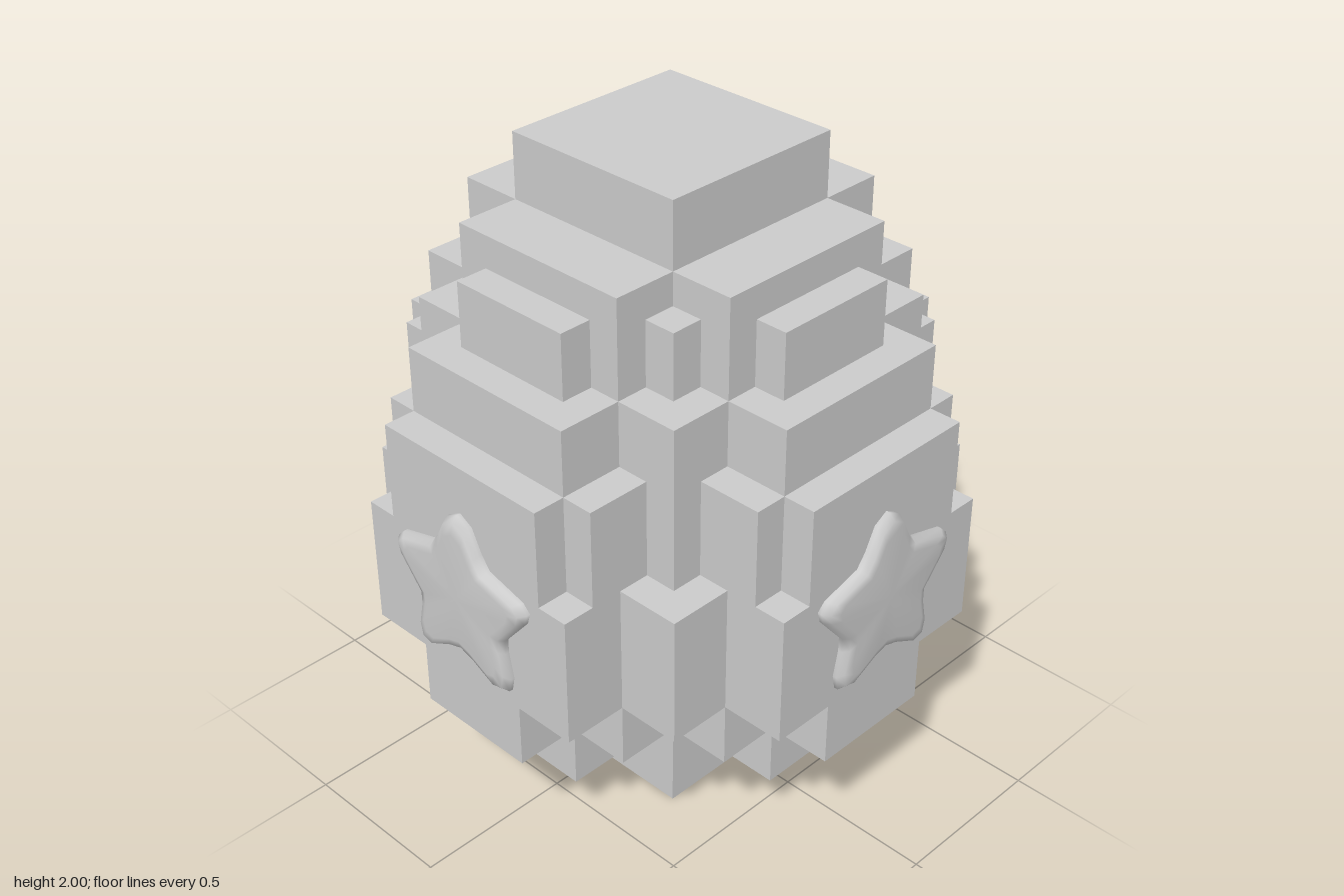
import * as THREE from 'three';

// Tiers from bottom to top: [y0, y1, steps], each step is [half width x, half depth z]
const TIERS = [
  [0.0, 0.2, [[0.3, 0.3]]],
  [0.2, 0.4, [[0.2, 0.6], [0.4, 0.4], [0.6, 0.2]]],
  [0.4, 0.6, [[0.2, 0.8], [0.4, 0.6], [0.6, 0.4], [0.8, 0.2]]],
  [0.6, 1.0, [[0.4, 0.8], [0.6, 0.6], [0.8, 0.4]]],
  [1.0, 1.3, [[0.3, 0.8], [0.4, 0.7], [0.5, 0.5], [0.7, 0.4], [0.8, 0.3]]],
  [1.3, 1.5, [[0.3, 0.7], [0.5, 0.5], [0.7, 0.3]]],
  [1.5, 1.7, [[0.2, 0.6], [0.3, 0.5], [0.4, 0.4], [0.5, 0.3], [0.6, 0.2]]],
  [1.7, 1.8, [[0.3, 0.5], [0.5, 0.3]]],
  [1.8, 2.0, [[0.3, 0.3]]],
];

// Right half of the star outline, top to bottom
const STAR_HALF = [
  [0, 1.155], [0.045, 1.13], [0.08, 1.06], [0.11, 1.02], [0.24, 0.985], [0.265, 0.96], [0.255, 0.925],
  [0.17, 0.825], [0.17, 0.78], [0.187, 0.7], [0.178, 0.655], [0.14, 0.645], [0.05, 0.69], [0, 0.705],
];

// Stepped outline mirrored into four quadrants, extruded upward
function tierGeometry(y0, y1, steps) {
  const q = [];
  steps.forEach(([x, z], i) => {
    q.push([x, z]);
    if (i + 1 < steps.length) q.push([x, steps[i + 1][1]]);
  });
  const r = [...q].reverse();
  const outline = [
    ...q,
    ...r.map(([x, z]) => [x, -z]),
    ...q.map(([x, z]) => [-x, -z]),
    ...r.map(([x, z]) => [-x, z]),
  ].map(([x, z]) => new THREE.Vector2(x, z));
  const geo = new THREE.ExtrudeGeometry(new THREE.Shape(outline), { depth: y1 - y0, bevelEnabled: false });
  return geo.rotateX(-Math.PI / 2).translate(0, y0, 0);
}

// Puffy star: shrinking rings of the outline closed by a centre point
function starGeometry() {
  const left = STAR_HALF.slice(1, -1).reverse().map(([x, y]) => [-x, y]);
  const outline = [...STAR_HALF, ...left].reverse(); // counter-clockwise from the front
  const n = outline.length, cy = 0.89;
  const rings = [[1, 0.795], [1, 0.812], [0.93, 0.831], [0.8, 0.838]]; // [scale, z]
  const pos = [], idx = [];
  for (const [s, z] of rings) for (const [x, y] of outline) pos.push(x * s, cy + (y - cy) * s, z);
  pos.push(0, cy, 0.84);
  const centre = rings.length * n;
  for (let k = 0; k < rings.length; k++) {
    for (let i = 0; i < n; i++) {
      const a = k * n + i, b = k * n + (i + 1) % n;
      if (k === rings.length - 1) idx.push(a, b, centre);
      else idx.push(a, b, b + n, a, b + n, a + n);
    }
  }
  const geo = new THREE.BufferGeometry();
  geo.setAttribute('position', new THREE.Float32BufferAttribute(pos, 3));
  geo.setIndex(idx);
  geo.computeVertexNormals();
  return geo;
}

export function createModel() {
  const model = new THREE.Group();
  model.name = 'blockEgg';
  const grey = new THREE.MeshStandardMaterial({ color: 0xcccccc });
  grey.name = 'lightGrey';

  // Stepped shell
  const shell = new THREE.Group();
  shell.name = 'eggShell';
  TIERS.forEach(([y0, y1, steps], i) => {
    const tier = new THREE.Mesh(tierGeometry(y0, y1, steps), grey);
    tier.name = `shellTier${i + 1}`;
    shell.add(tier);
  });
  model.add(shell);

  // One star on each side
  const star = starGeometry();
  ['frontStar', 'leftStar', 'backStar', 'rightStar'].forEach((name, i) => {
    const mesh = new THREE.Mesh(star, grey);
    mesh.name = name;
    mesh.rotation.y = i * Math.PI / 2;
    model.add(mesh);
  });

  return model;
}
